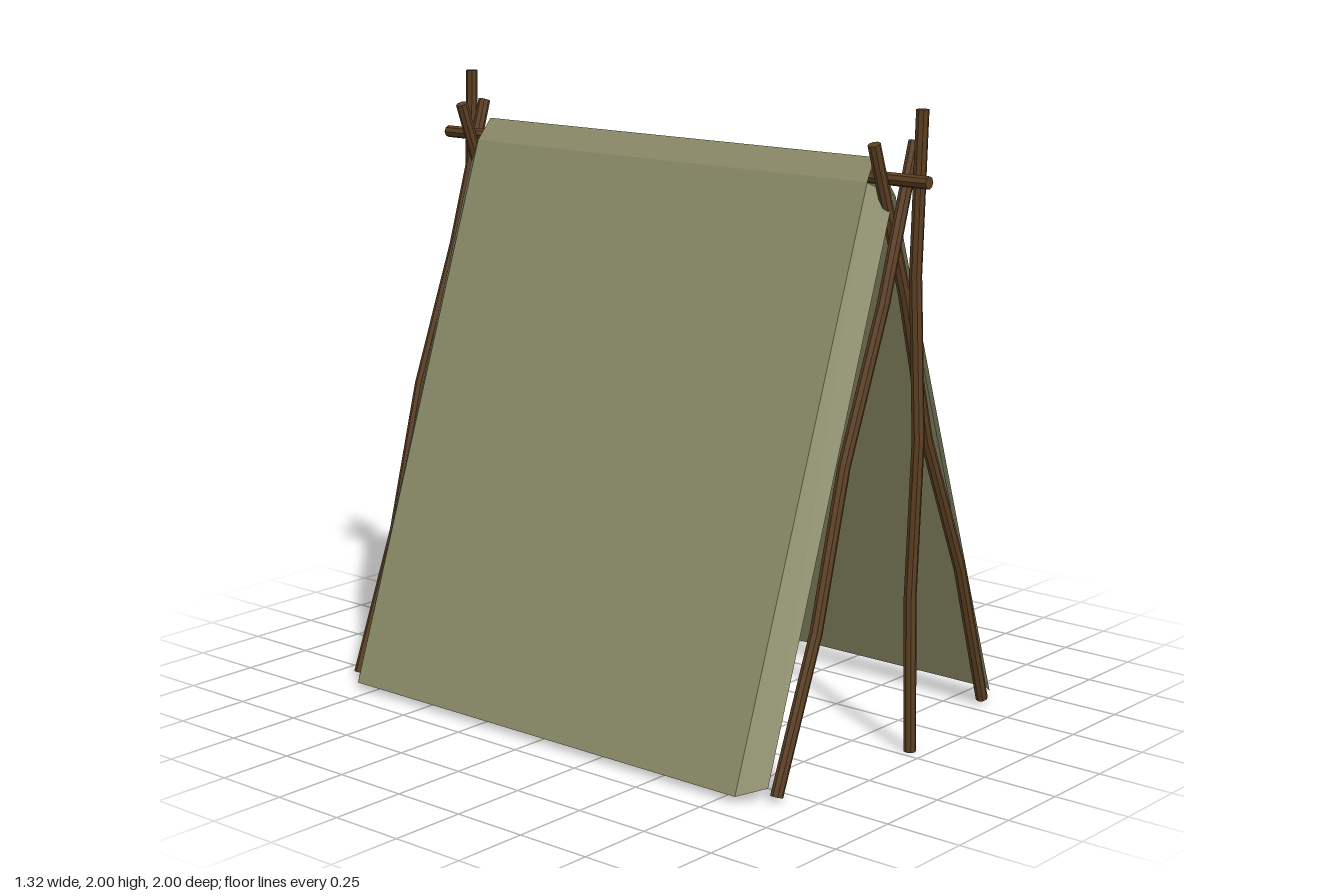
import * as THREE from 'three';

const wood = new THREE.MeshStandardMaterial({ color: 0x5c3f22, flatShading: true });
const cloth = new THREE.MeshStandardMaterial({ color: 0x8f8f6b, flatShading: true, side: THREE.DoubleSide });

// Slightly crooked pole from a to b; bends holds [dx, dz] for five rings, bottom to top
function pole(name, a, b, bends) {
  const from = new THREE.Vector3(...a), to = new THREE.Vector3(...b);
  const dir = to.clone().sub(from), len = dir.length();
  const geo = new THREE.CylinderGeometry(0.02, 0.02, len, 8, 4);
  const p = geo.attributes.position;
  for (let i = 0; i < p.count; i++) {
    const [dx, dz] = bends[Math.round((p.getY(i) / len + 0.5) * 4)];
    p.setX(i, p.getX(i) + dx);
    p.setZ(i, p.getZ(i) + dz);
  }
  geo.computeVertexNormals();
  const mesh = new THREE.Mesh(geo, wood);
  mesh.name = name;
  mesh.position.copy(from).add(to).multiplyScalar(0.5);
  mesh.quaternion.setFromUnitVectors(new THREE.Vector3(0, 1, 0), dir.normalize());
  return mesh;
}

// Mesh from quads, corners anticlockwise seen from outside
function sheet(name, quads) {
  const pos = [];
  for (const [a, b, c, d] of quads) pos.push(...a, ...b, ...c, ...a, ...c, ...d);
  const geo = new THREE.BufferGeometry();
  geo.setAttribute('position', new THREE.Float32BufferAttribute(pos, 3));
  geo.computeVertexNormals();
  const mesh = new THREE.Mesh(geo, cloth);
  mesh.name = name;
  return mesh;
}

// One side of the canvas: ridge bevel, main panel and a folded flap at each end
function canvasSide(s) {
  const ridge = z => [0, 1.85, z * 0.8];
  const top = z => [s * 0.05, 1.78, z * 0.81];
  const foot = z => [s * 0.66, 0.02, z * 0.81];
  const flapTop = z => [s * 0.005, 1.74, z * 0.875];
  const flapFoot = z => [s * 0.585, 0.04, z * 0.875];
  const quads = [
    [ridge(1), top(1), top(-1), ridge(-1)],
    [top(1), foot(1), foot(-1), top(-1)],
    [flapTop(1), flapFoot(1), foot(1), top(1)],
    [top(-1), foot(-1), flapFoot(-1), flapTop(-1)],
  ];
  if (s < 0) quads.forEach(q => q.reverse());
  return sheet(s > 0 ? 'leftCanvas' : 'rightCanvas', quads);
}

export function createModel() {
  const model = new THREE.Group();
  model.name = 'tent';

  const canvas = new THREE.Group();
  canvas.name = 'canvas';
  canvas.add(canvasSide(1), canvasSide(-1));
  model.add(canvas);

  // Ridge pole carrying the canvas
  model.add(pole('ridgePole', [0, 1.79, -1], [0, 1.79, 1], [[0, 0], [0, 0], [0, 0], [0, 0], [0, 0]]));

  // Upright and crossed poles at each end
  for (const [name, s, uprightZ] of [['front', 1, 0.943], ['back', -1, -0.924]]) {
    const frame = new THREE.Group();
    frame.name = name + 'Frame';
    frame.add(
      pole('upright', [0.04, 0, uprightZ], [0.04, 2, uprightZ],
        [[0, 0], [0, -0.01], [0, 0.008], [0, -0.014], [0, 0]]),
      pole('outerLeg', [-0.57, 0.015, s * 0.896], [0.07, 1.9, s * 0.896],
        [[0, 0], [0.016, 0.006], [-0.004, -0.005], [0.006, 0.006], [0, 0]]),
      pole('innerLeg', [0.57, 0.015, s * 0.855], [-0.08, 1.9, s * 0.855],
        [[0, 0], [0.01, 0.005], [-0.018, -0.005], [0, 0.005], [0, 0]]),
    );
    model.add(frame);
  }
  return model;
}
